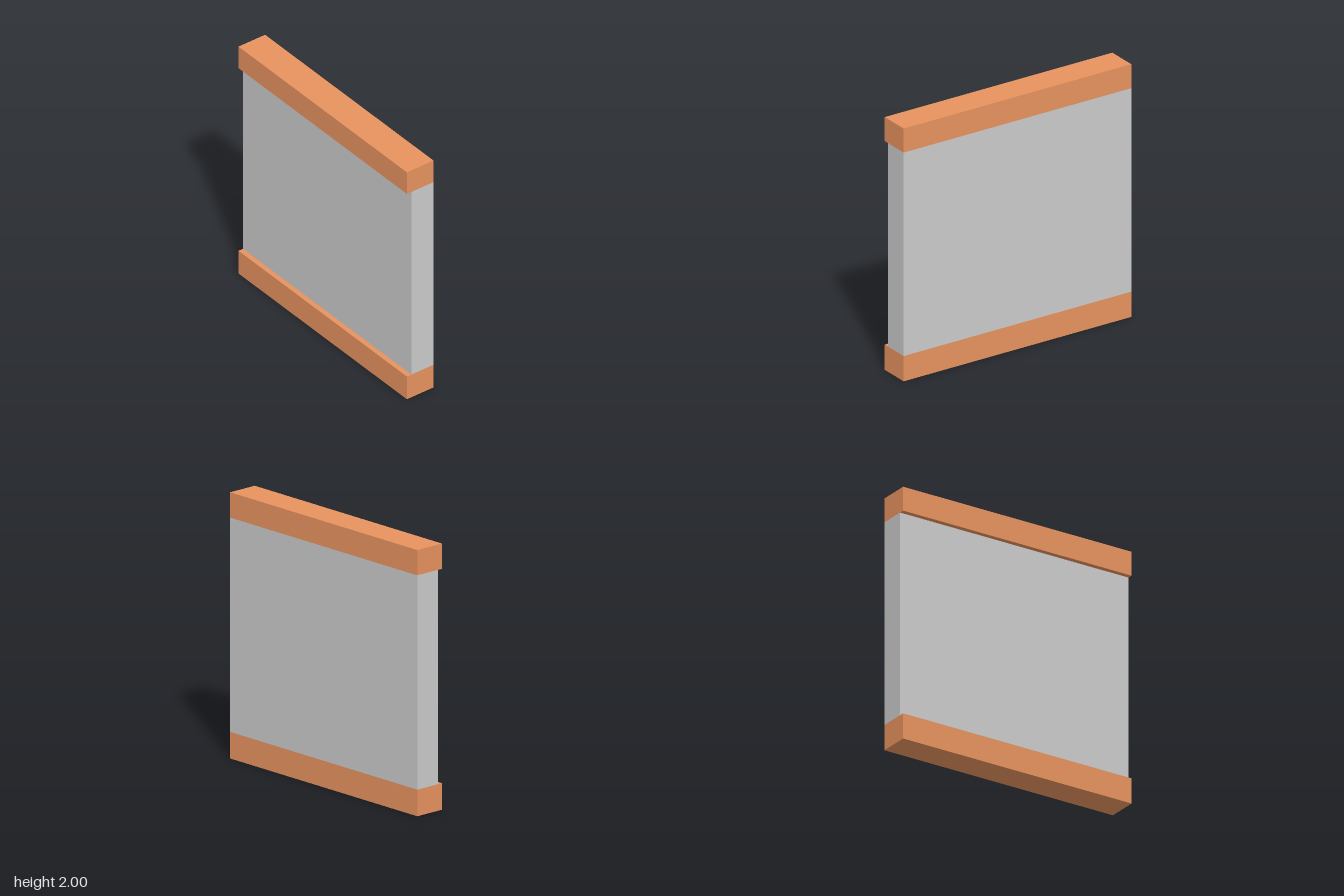
import * as THREE from 'three';

const WIDTH = 1.983;
const BACK = -0.121;

export function createModel() {
  const model = new THREE.Group();
  model.name = 'wallSection';
  const grey = new THREE.MeshStandardMaterial({ color: 0xcccccc });
  const orange = new THREE.MeshStandardMaterial({ color: 0xe8935f });

  // Full-width slab between two heights, flush with the back plane
  function addSlab(name, bottom, top, depth, material) {
    const slab = new THREE.Mesh(new THREE.BoxGeometry(WIDTH, top - bottom, depth), material);
    slab.name = name;
    slab.position.set(0, (bottom + top) / 2, BACK + depth / 2);
    model.add(slab);
  }

  // Skirting and cornice stand proud of the panel at the front only
  addSlab('bottomTrim', 0, 0.2, 0.242, orange);
  addSlab('wallPanel', 0.2, 1.81, 0.202, grey);
  addSlab('topTrim', 1.81, 2, 0.242, orange);

  return model;
}
